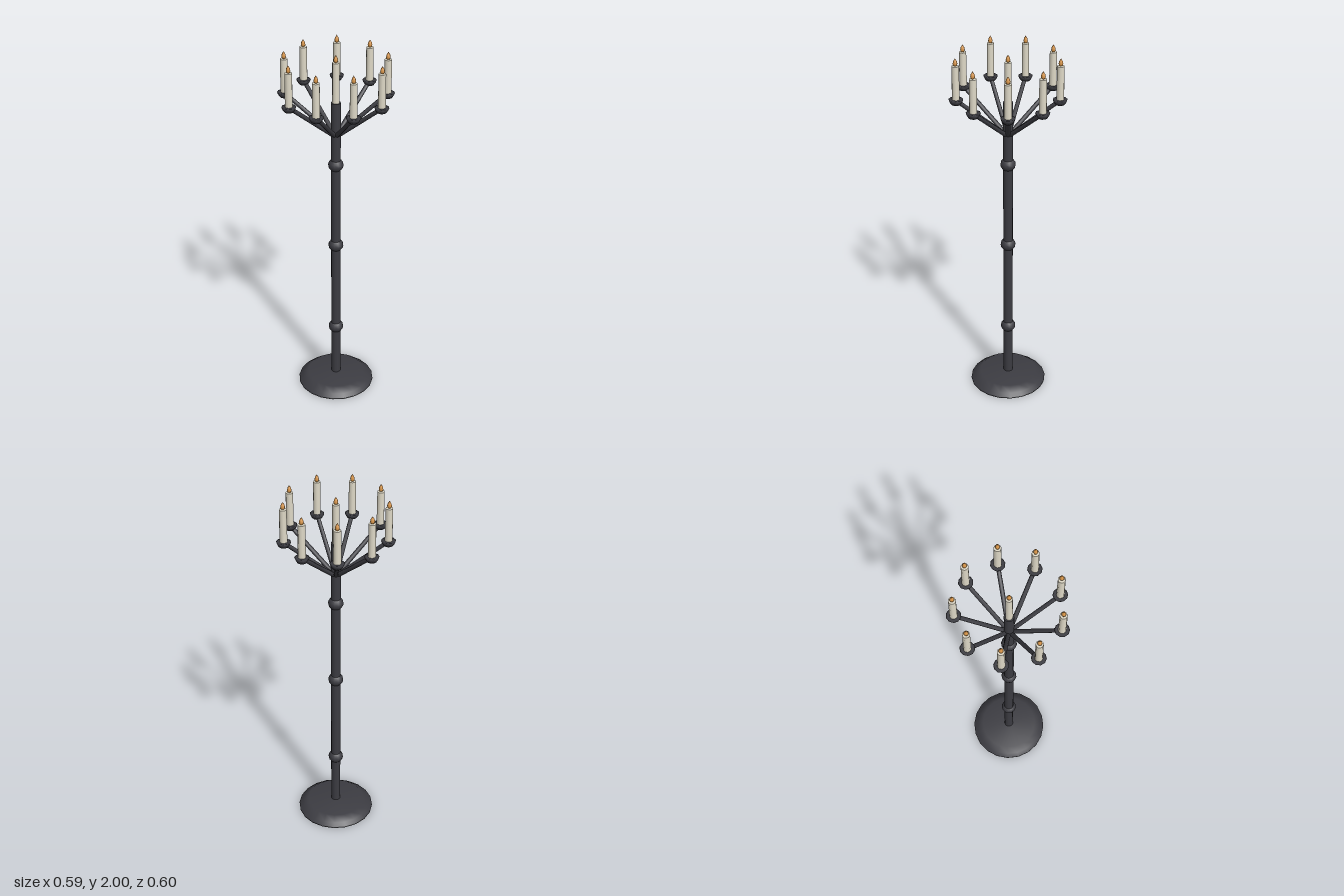
import * as THREE from 'three';

export function createModel() {
  const model = new THREE.Group();
  const iron = new THREE.MeshStandardMaterial({ color: 0x3c3c42 });
  const wax = new THREE.MeshStandardMaterial({ color: 0xe0dac8 });
  const fire = new THREE.MeshStandardMaterial({ color: 0xd8964a });

  function add(parent, name, geometry, material, x = 0, y = 0, z = 0) {
    const mesh = new THREE.Mesh(geometry, material);
    mesh.name = name;
    mesh.position.set(x, y, z);
    parent.add(mesh);
    return mesh;
  }
  const lathe = (points, sides) =>
    new THREE.LatheGeometry(points.map(([r, y]) => new THREE.Vector2(r, y)), sides);

  // the arm ring is odd-numbered, so the axis sits slightly off the middle
  const stand = new THREE.Group();
  stand.name = 'candelabrum';
  stand.position.x = -0.01;
  model.add(stand);

  // foot with sloping rim
  add(stand, 'base', lathe([[0, 0], [0.211, 0], [0.211, 0.006], [0.19, 0.022], [0.157, 0.05], [0, 0.053]], 20), iron);

  // column and its knobs
  add(stand, 'column', new THREE.CylinderGeometry(0.026, 0.026, 1.69, 12), iron, 0, 0.895, 0);
  for (const y of [0.36, 0.895, 1.383]) {
    const knob = add(stand, 'knob', new THREE.SphereGeometry(0.041, 12, 8), iron, 0, y, 0);
    knob.scale.y = 0.9;
  }

  // candle with a pointed flame, standing at height y
  const flame = lathe([[0, 0], [0.009, 0.005], [0.012, 0.014], [0.009, 0.028], [0, 0.043]], 8);
  function addCandle(parent, x, y, radius) {
    const candle = new THREE.Group();
    candle.name = 'candle';
    candle.position.x = x;
    const height = 1.959 - y;
    add(candle, 'wax', new THREE.CylinderGeometry(radius * 0.95, radius, height, 10), wax, 0, y + height / 2, 0);
    add(candle, 'flame', flame, fire, 0, 1.957, 0);
    parent.add(candle);
  }
  addCandle(stand, 0, 1.735, 0.019);

  // nine arms, each with a cup and a candle
  const reach = 0.267;
  const start = new THREE.Vector3(0.022, 1.565, 0);
  const end = new THREE.Vector3(reach - 0.008, 1.765, 0);
  const direction = end.clone().sub(start);
  const armGeometry = new THREE.CylinderGeometry(0.011, 0.012, direction.length(), 8);
  const cupGeometry = lathe([[0, 1.749], [0.024, 1.751], [0.033, 1.764], [0.038, 1.777], [0.03, 1.779], [0, 1.777]], 10);
  for (let i = 0; i < 9; i++) {
    const branch = new THREE.Group();
    branch.name = 'branch';
    branch.rotation.y = (i / 9) * Math.PI * 2;
    const middle = start.clone().add(end).multiplyScalar(0.5);
    const arm = add(branch, 'arm', armGeometry, iron, middle.x, middle.y, 0);
    arm.quaternion.setFromUnitVectors(new THREE.Vector3(0, 1, 0), direction.clone().normalize());
    add(branch, 'cup', cupGeometry, iron, reach, 0, 0);
    addCandle(branch, reach, 1.775, 0.02);
    stand.add(branch);
  }
  return model;
}
